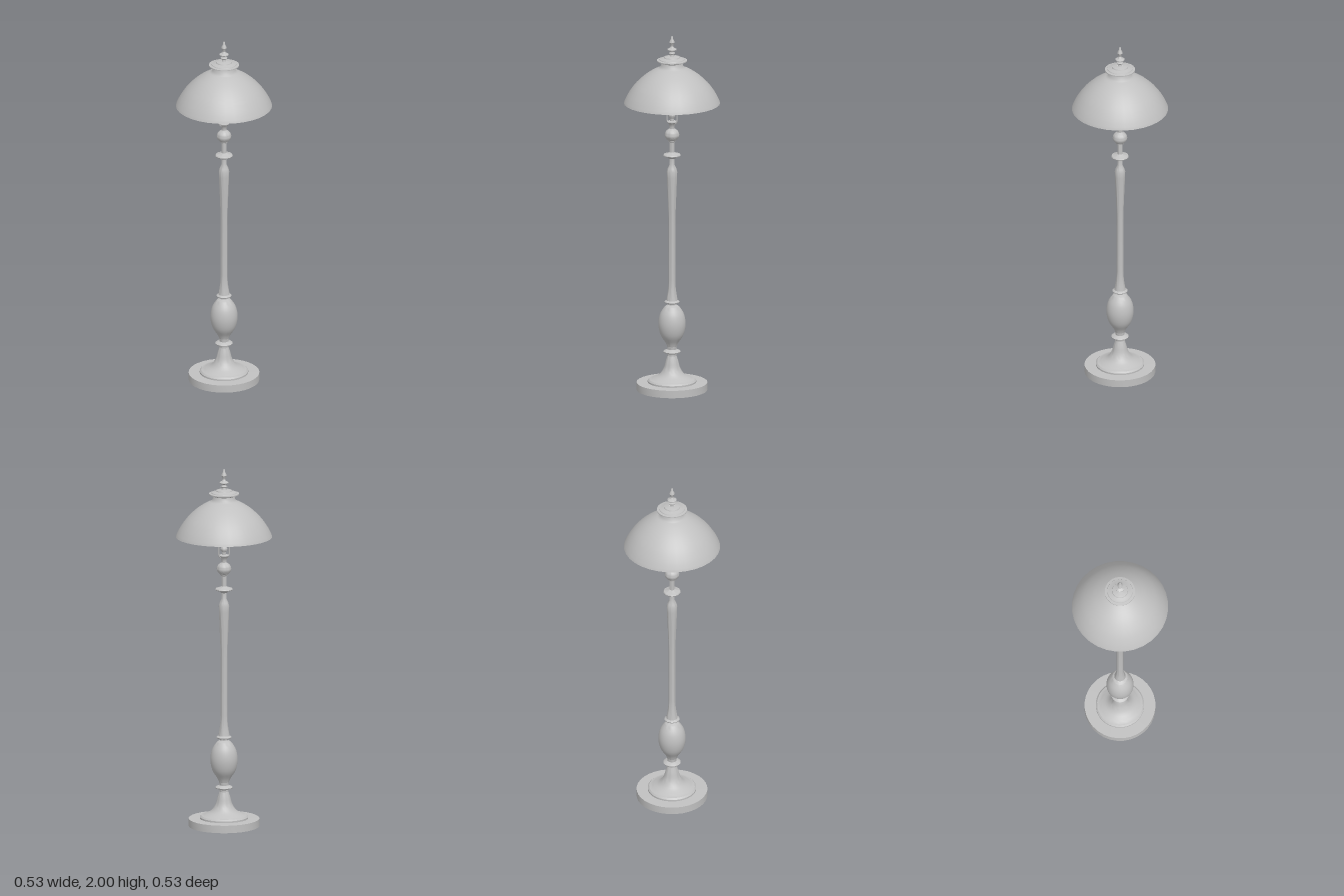
import * as THREE from 'three';
import { toCreasedNormals } from 'three/addons/utils/BufferGeometryUtils.js';

const metal = new THREE.MeshStandardMaterial({ color: 0xc0c0c0, side: THREE.DoubleSide });
metal.name = 'plain grey';

// Turned part from [radius, height] pairs, listed bottom to top
function turned(name, profile, segments = 32, crease = 0.6) {
  const points = profile.map(([r, y]) => new THREE.Vector2(r, y));
  const mesh = new THREE.Mesh(toCreasedNormals(new THREE.LatheGeometry(points, segments), crease), metal);
  mesh.name = name;
  return mesh;
}

// Profile arc of a bulb with radius r and half height h
function bulb(r, h, y, from = -75, to = 75, steps = 10) {
  return Array.from({ length: steps + 1 }, (_, i) => {
    const a = THREE.MathUtils.degToRad(from + (to - from) * i / steps);
    return [r * Math.cos(a), y + h * Math.sin(a)];
  });
}

// Smooth profile through a few points
function smooth(points, steps = 12) {
  const curve = new THREE.SplineCurve(points.map(([r, y]) => new THREE.Vector2(r, y)));
  return curve.getPoints(steps).map(p => [p.x, p.y]);
}

export function createModel() {
  const lamp = new THREE.Group();
  lamp.name = 'floorLamp';

  // Hollow foot: rim, step and bell rising to the lower collar
  lamp.add(turned('base', [
    [0.194, 0], [0.194, 0.042], [0.133, 0.043], [0.133, 0.052], [0.125, 0.06], [0.112, 0.062],
    ...smooth([[0.105, 0.066], [0.07, 0.085], [0.046, 0.12], [0.035, 0.16], [0.025, 0.192]]),
  ]));

  lamp.add(turned('lowerCollar', [
    [0.025, 0.19], [0.025, 0.203], [0.046, 0.211], [0.048, 0.216], [0.042, 0.221], [0.025, 0.228], [0.027, 0.25],
  ]));

  // Egg-shaped bulb on the lower stem
  lamp.add(turned('eggBulb', [
    ...smooth([[0.027, 0.245], [0.037, 0.268], [0.064, 0.312], [0.075, 0.37], [0.066, 0.426], [0.042, 0.466], [0.03, 0.475]], 20),
    [0.022, 0.48], [0.022, 0.488],
  ]));

  lamp.add(turned('columnCollar', [
    [0.022, 0.486], [0.04, 0.492], [0.042, 0.497], [0.036, 0.502], [0.026, 0.507],
  ]));

  // Slender column, swelling toward its shoulder
  lamp.add(turned('column', [
    [0.031, 0.505], [0.026, 0.535], [0.021, 0.57], [0.0185, 0.62], [0.0185, 0.94],
    [0.02, 1.0], [0.024, 1.1], [0.028, 1.2], [0.029, 1.232], [0.024, 1.25], [0.015, 1.27],
    [0.0145, 1.31],
  ]));

  lamp.add(turned('upperDisc', [
    [0.0145, 1.305], [0.025, 1.313], [0.046, 1.321], [0.048, 1.325], [0.045, 1.33], [0.022, 1.337], [0.0145, 1.342],
  ]));

  lamp.add(turned('upperStem', [
    [0.0145, 1.335], [0.0145, 1.4], [0.022, 1.405], ...bulb(0.04, 0.036, 1.44, -55, 60), [0.014, 1.476],
    [0.014, 1.487], [0.018, 1.5], [0.028, 1.512], [0.028, 1.516], [0.012, 1.52],
  ]));

  // Lamp holder
  lamp.add(turned('holder', [
    [0.011, 1.515], [0.011, 1.53], ...bulb(0.019, 0.018, 1.549, -55, 55, 8), [0.011, 1.57],
    [0.012, 1.58], [0.024, 1.582], [0.024, 1.63], [0, 1.63],
  ], 24));

  // Thin U-shaped harp carrying the shade
  const path = new THREE.CurvePath();
  const v = (x, y) => new THREE.Vector3(x, y, 0);
  path.add(new THREE.LineCurve3(v(-0.033, 1.85), v(-0.033, 1.52)));
  path.add(new THREE.QuadraticBezierCurve3(v(-0.033, 1.52), v(-0.031, 1.502), v(0, 1.495)));
  path.add(new THREE.QuadraticBezierCurve3(v(0, 1.495), v(0.031, 1.502), v(0.033, 1.52)));
  path.add(new THREE.LineCurve3(v(0.033, 1.52), v(0.033, 1.85)));
  const harp = new THREE.Mesh(new THREE.TubeGeometry(path, 80, 0.0035, 6), metal);
  harp.name = 'harp';
  lamp.add(harp);

  // Open domed shade with a short neck
  lamp.add(turned('shade', [
    [0.258, 1.62], [0.264, 1.62],
    ...smooth([[0.262, 1.626], [0.241, 1.668], [0.205, 1.72], [0.155, 1.769], [0.105, 1.803], [0.07, 1.82]], 16),
    [0.062, 1.83], [0.058, 1.847],
  ]));

  // Stepped cap closing the shade
  lamp.add(turned('cap', [
    [0, 1.845], [0.055, 1.845], [0.065, 1.855], [0.083, 1.857], [0.083, 1.862], [0.07, 1.864], [0.068, 1.868],
    [0.058, 1.87], [0.045, 1.875], [0.043, 1.88], [0.03, 1.883], [0.014, 1.886],
  ]));

  // Finial
  lamp.add(turned('finial', [
    [0.012, 1.883], [0.01, 1.893], [0.017, 1.898], [0.018, 1.902], [0.01, 1.907], [0.01, 1.912],
    [0.026, 1.92], [0.026, 1.924], [0.012, 1.931], [0.007, 1.94], [0.009, 1.95], [0.015, 1.961],
    [0.013, 1.969], [0.007, 1.98], [0.005, 1.993], [0, 2],
  ], 24));

  return lamp;
}
